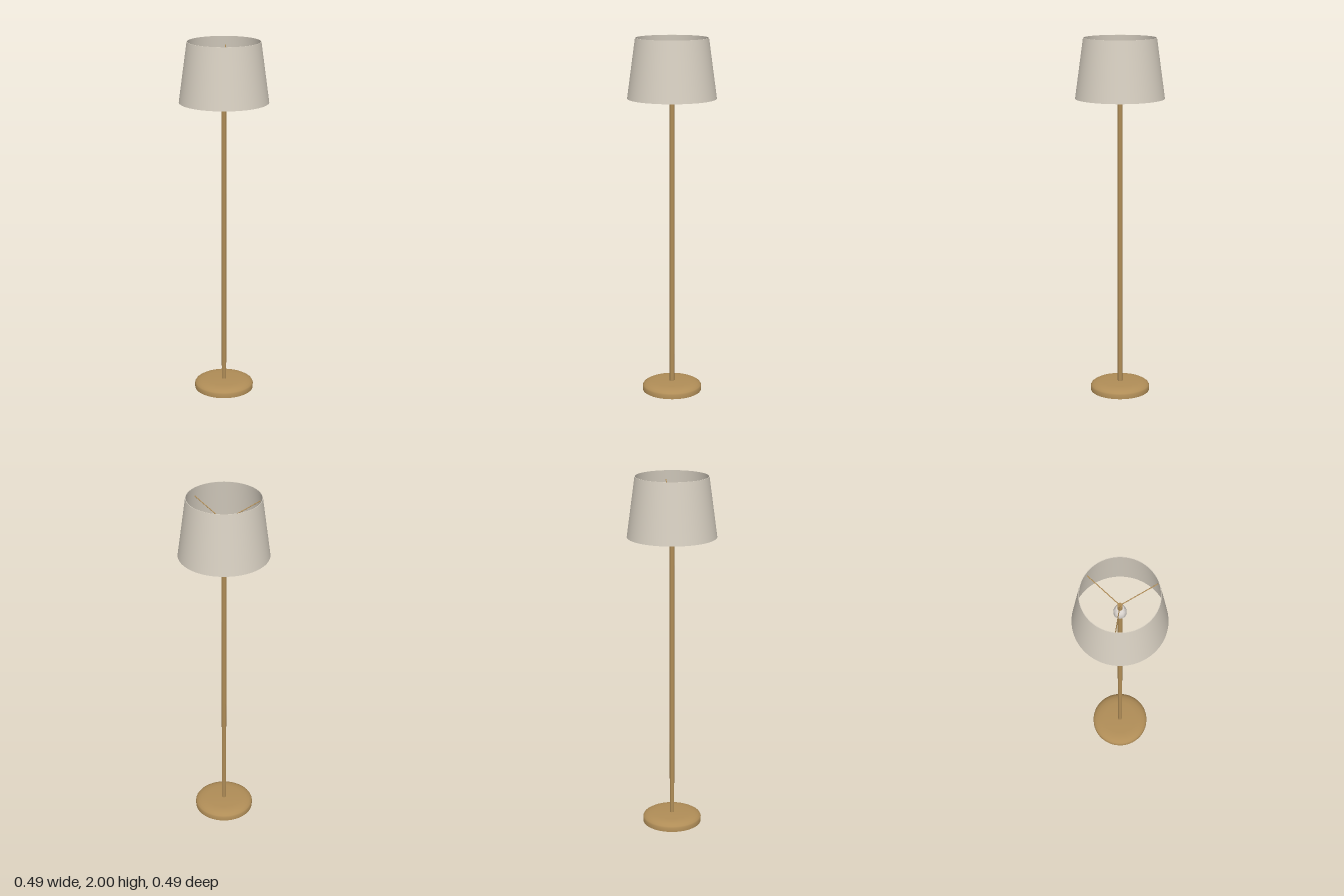
import * as THREE from 'three';
import { toCreasedNormals } from 'three/addons/utils/BufferGeometryUtils.js';

const material = (name, color, side = THREE.FrontSide) => {
  const m = new THREE.MeshStandardMaterial({ color, side });
  m.name = name;
  return m;
};

// Turned part from [radius, height] points, listed from the bottom upwards
function turned(name, points, mat, segments = 64) {
  const profile = points.map(([r, y]) => new THREE.Vector2(r, y));
  const geometry = toCreasedNormals(new THREE.LatheGeometry(profile, segments), 0.6);
  const mesh = new THREE.Mesh(geometry, mat);
  mesh.name = name;
  return mesh;
}

// Straight rod between two points
function rod(name, a, b, radius, mat) {
  const mesh = new THREE.Mesh(new THREE.CylinderGeometry(radius, radius, a.distanceTo(b), 10), mat);
  mesh.position.copy(a).add(b).multiplyScalar(0.5);
  mesh.quaternion.setFromUnitVectors(new THREE.Vector3(0, 1, 0), b.clone().sub(a).normalize());
  mesh.name = name;
  return mesh;
}

export function createModel() {
  const lamp = new THREE.Group();
  lamp.name = 'floorLamp';

  const brass = material('brass', 0xb08d57);
  const linen = material('linen', 0xd8d0c2, THREE.DoubleSide);
  const porcelain = material('porcelain', 0xdcd6d0);

  // Weighted disc base with a softened shoulder
  lamp.add(turned('base', [
    [0, 0], [0.167, 0], [0.167, 0.024], [0.163, 0.031],
    [0.15, 0.039], [0.13, 0.046], [0.1, 0.049], [0, 0.05],
  ], brass));

  // Pole running up through the lamp holder
  const hubY = 1.87;
  lamp.add(turned('pole', [[0, 0.04], [0.013, 0.04], [0.013, hubY], [0, hubY]], brass, 24));

  // Rounded lamp holder
  lamp.add(turned('lampHolder', [
    [0, 1.75], [0.016, 1.75], [0.026, 1.758], [0.032, 1.772],
    [0.032, 1.8], [0.028, 1.817], [0.02, 1.828], [0, 1.832],
  ], porcelain, 32));

  // Three spokes rising from the pole to the shade
  for (let i = 0; i < 3; i++) {
    const angle = (i * Math.PI * 2) / 3;
    const tip = new THREE.Vector3(Math.cos(angle) * 0.2, 1.95, Math.sin(angle) * 0.2);
    lamp.add(rod('shadeSpoke', new THREE.Vector3(0, hubY - 0.003, 0), tip, 0.0025, brass));
  }

  // Tapered shade with a thin closed wall
  lamp.add(turned('shade', [
    [0.241, 1.673], [0.244, 1.673], [0.199, 2], [0.196, 2], [0.241, 1.673],
  ], linen, 96));

  return lamp;
}
